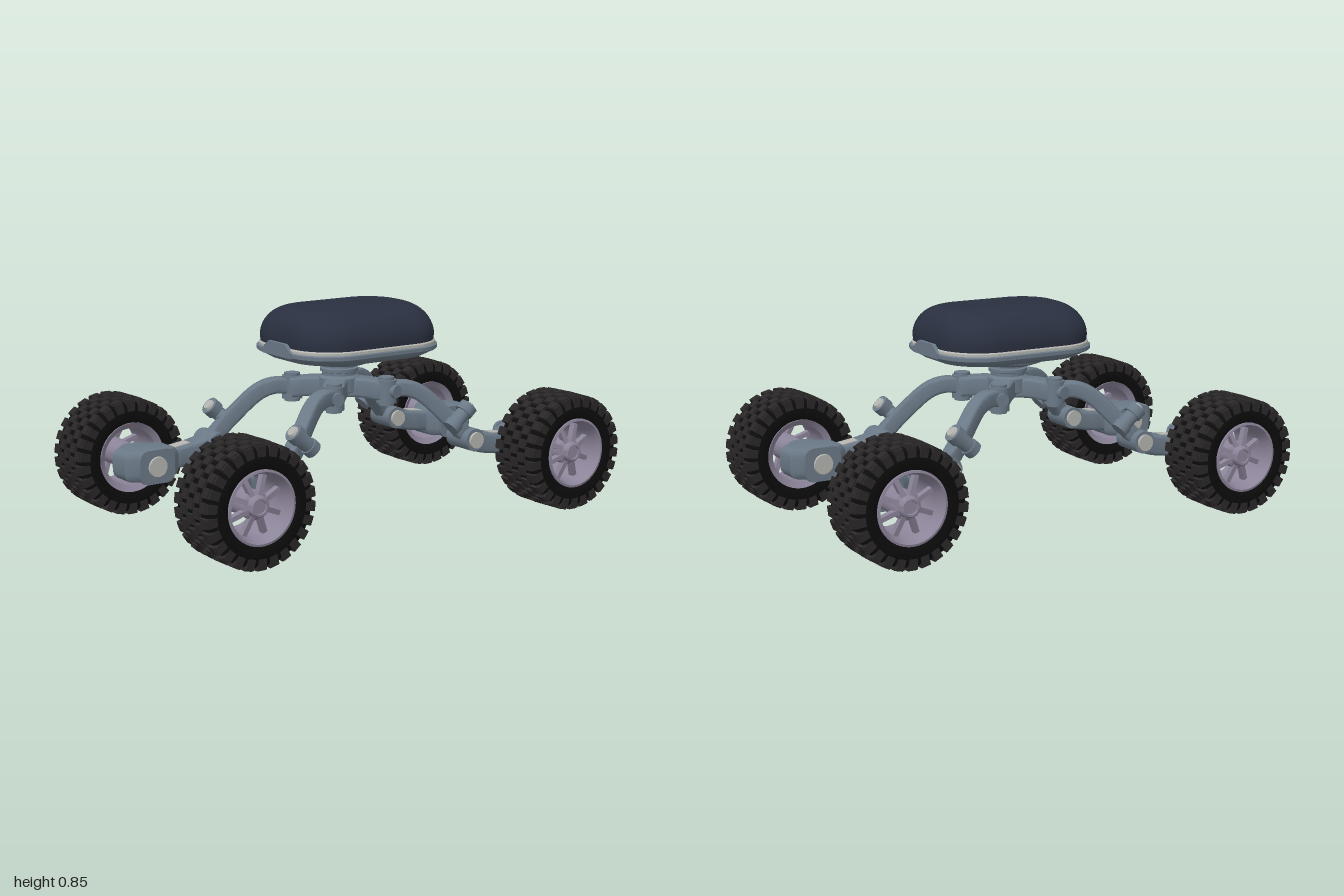
import * as THREE from 'three';
import { mergeGeometries, toCreasedNormals } from 'three/addons/utils/BufferGeometryUtils.js';

const mat = (color) => new THREE.MeshStandardMaterial({ color });
const slate = mat(0x6b7987), navy = mat(0x2a3040), rubber = mat(0x0c0c0d);
const tread = mat(0x2a2728), alloy = mat(0x8c8499), pale = mat(0xb4b5b0);
const V = (x, y, z) => new THREE.Vector3(x, y, z);

function add(parent, name, geometry, material, x = 0, y = 0, z = 0) {
  const mesh = new THREE.Mesh(geometry, material);
  mesh.name = name;
  mesh.position.set(x, y, z);
  parent.add(mesh);
  return mesh;
}

// Cylinder between two points
function rod(parent, name, a, b, r1, r2, material, sides = 24) {
  const mesh = add(parent, name, new THREE.CylinderGeometry(r2, r1, a.distanceTo(b), sides), material);
  mesh.position.copy(a).lerp(b, 0.5);
  mesh.quaternion.setFromUnitVectors(V(0, 1, 0), b.clone().sub(a).normalize());
  return mesh;
}

// Rounded-rectangle outline, counter-clockwise
function outline(w, h, r, n) {
  const pts = [];
  for (let c = 0; c < 4; c++) {
    const sx = c === 0 || c === 3 ? 1 : -1, sy = c < 2 ? 1 : -1;
    for (let i = 0; i <= n; i++) {
      const a = (c + i / n) * Math.PI / 2;
      pts.push([sx * (w - r) + r * Math.cos(a), sy * (h - r) + r * Math.sin(a)]);
    }
  }
  return pts;
}

// Skin over rounded-rectangle sections { c: centre, t: direction, w, h, r }
function loft(sections, up, n = 4, crease = 0.6) {
  const pos = [], idx = [], m = 4 * (n + 1), last = sections.length - 1;
  for (const { c, t, w, h, r } of sections) {
    const u = t.clone().cross(up).normalize(), v = t.clone().cross(u);
    for (const [p, q] of outline(w, h, r, n)) {
      pos.push(...c.clone().addScaledVector(u, p).addScaledVector(v, q).toArray());
    }
  }
  for (let i = 0; i < last; i++) {
    for (let j = 0; j < m; j++) {
      const k = (j + 1) % m, a = i * m + j, b = i * m + k;
      idx.push(a, b, a + m, b, b + m, a + m);
    }
  }
  for (let j = 1; j < m - 1; j++) {
    idx.push(0, j + 1, j, last * m, last * m + j, last * m + j + 1);
  }
  const g = new THREE.BufferGeometry();
  g.setAttribute('position', new THREE.Float32BufferAttribute(pos, 3));
  g.setIndex(idx);
  return toCreasedNormals(g, crease);
}

// Bar swept along a smooth curve
function beam(points, w, h, r, steps = 14) {
  const curve = new THREE.CatmullRomCurve3(points, false, 'centripetal');
  const sections = [];
  for (let i = 0; i <= steps; i++) {
    sections.push({ c: curve.getPointAt(i / steps), t: curve.getTangentAt(i / steps), w, h, r });
  }
  return loft(sections, V(0, 1, 0), 3);
}

// Lathe turned so its axis runs along z; profile given as [radius, z]
function turned(profile, sides = 48) {
  const g = new THREE.LatheGeometry(profile.map(([r, z]) => new THREE.Vector2(r, z)), sides);
  return toCreasedNormals(g.rotateX(Math.PI / 2), 0.6);
}

function createWheel() {
  const wheel = new THREE.Group();
  wheel.name = 'wheel';
  add(wheel, 'tyre', turned([[0.135, -0.105], [0.15, -0.116], [0.18, -0.119], [0.21, -0.113], [0.225, -0.1],
    [0.228, 0], [0.225, 0.1], [0.21, 0.113], [0.18, 0.119], [0.15, 0.116], [0.135, 0.105], [0.135, -0.105]]), rubber);

  // Staggered tread blocks with shoulder lugs
  const blocks = [], count = 26;
  const block = (w, h, d, r, z, angle) => {
    blocks.push(new THREE.BoxGeometry(w, h, d).translate(0, r, z).rotateZ(angle));
  };
  for (let i = 0; i < count; i++) {
    for (let row = -2; row <= 2; row++) {
      const angle = (i + (row % 2 ? 0.5 : 0)) / count * Math.PI * 2;
      block(0.037, 0.02, 0.038, 0.229 - Math.abs(row) * 0.001, row * 0.044, angle);
      if (Math.abs(row) === 2) block(0.034, 0.042, 0.02, 0.211, row * 0.0535, angle);
    }
  }
  add(wheel, 'treadBlocks', mergeGeometries(blocks), tread);

  // Open rim with dished spokes and hub
  add(wheel, 'rim', turned([[0.118, -0.1], [0.143, -0.117], [0.143, -0.1], [0.135, -0.09], [0.135, 0.09],
    [0.143, 0.1], [0.143, 0.119], [0.134, 0.121], [0.124, 0.1], [0.118, 0.06], [0.118, -0.1]]), alloy);
  const spokes = [];
  for (let i = 0; i < 8; i++) {
    const g = new THREE.BoxGeometry(0.019, 0.1, 0.026).rotateX(-0.2).translate(0, 0.075, 0.06);
    spokes.push(g.rotateZ((i + 0.5) * Math.PI / 4));
  }
  add(wheel, 'spokes', mergeGeometries(spokes), alloy);
  add(wheel, 'hub', turned([[0, -0.1], [0.05, -0.1], [0.055, 0.03], [0.055, 0.07], [0.042, 0.078],
    [0.04, 0.1], [0.034, 0.106], [0.026, 0.106], [0.024, 0.1], [0, 0.1]], 32), alloy);
  return wheel;
}

function createLeg() {
  const leg = new THREE.Group();
  leg.name = 'leg';
  // Hip: bracket arm, upright swivel and pivot pin
  add(leg, 'hipBracket', beam([V(0.02, 0.51, 0.02), V(0.075, 0.51, 0.08), V(0.13, 0.5, 0.14)], 0.045, 0.04, 0.012, 6), slate);
  rod(leg, 'hipSwivel', V(0.13, 0.45, 0.15), V(0.13, 0.545, 0.15), 0.042, 0.042, slate);
  rod(leg, 'hipCap', V(0.13, 0.44, 0.15), V(0.13, 0.557, 0.15), 0.032, 0.032, slate);
  rod(leg, 'hipPin', V(0.135, 0.5, 0.15), V(0.145, 0.5, 0.205), 0.028, 0.026, slate);

  // Bent upper arm
  const path = [V(0.13, 0.5, 0.15), V(0.2, 0.507, 0.175), V(0.26, 0.485, 0.2), V(0.36, 0.385, 0.25), V(0.41, 0.33, 0.27), V(0.45, 0.285, 0.275)];
  add(leg, 'upperArm', beam(path, 0.031, 0.033, 0.012, 20), slate);
  const inset = add(leg, 'upperArmInset', new THREE.BoxGeometry(0.06, 0.006, 0.026), pale, 0.3, 0.475, 0.22);
  inset.quaternion.setFromUnitVectors(V(1, 0, 0), V(0.1, -0.1, 0.05).normalize());

  // Angled damper canister beside the arm
  const low = V(0.34, 0.345, 0.31), high = V(0.43, 0.425, 0.31);
  const at = (f) => low.clone().lerp(high, f);
  rod(leg, 'damper', low, high, 0.03, 0.03, slate);
  rod(leg, 'damperFoot', at(-0.02), at(0.25), 0.036, 0.036, slate);
  rod(leg, 'damperHead', at(0.7), at(1.02), 0.038, 0.038, slate);
  rod(leg, 'damperCap', at(1), at(1.1), 0.026, 0.02, pale);
  rod(leg, 'damperMount', V(0.385, 0.37, 0.25), V(0.385, 0.385, 0.31), 0.028, 0.028, slate);

  // Elbow
  rod(leg, 'elbow', V(0.45, 0.285, 0.2), V(0.45, 0.285, 0.335), 0.047, 0.047, slate);
  for (const [a, b] of [[0.188, 0.2], [0.335, 0.347]]) {
    rod(leg, 'elbowCap', V(0.45, 0.285, a), V(0.45, 0.285, b), 0.034, 0.034, pale);
  }

  // Forearm leading into the motor housing
  add(leg, 'forearm', beam([V(0.45, 0.28, 0.275), V(0.52, 0.26, 0.275), V(0.66, 0.24, 0.275)], 0.05, 0.042, 0.014, 8), slate);
  add(leg, 'forearmInset', new THREE.BoxGeometry(0.07, 0.008, 0.05), pale, 0.595, 0.29, 0.275).rotation.z = -0.15;
  const housing = [[0.175, 0.078, 0.069], [0.19, 0.078, 0.069], [0.192, 0.074, 0.062], [0.225, 0.122, 0.062],
    [0.325, 0.122, 0.062], [0.35, 0.075, 0.06], [0.385, 0.07, 0.06]];
  add(leg, 'motorHousing', loft(housing.map(([z, w, h]) => (
    { c: V(0.752, 0.238, z), t: V(0, 0, 1), w, h, r: 0.035 })), V(0, 1, 0), 3), slate);
  rod(leg, 'motorCap', V(0.752, 0.238, 0.168), V(0.752, 0.238, 0.18), 0.04, 0.044, pale);
  rod(leg, 'axle', V(0.76, 0.24, 0.36), V(0.76, 0.24, 0.5), 0.045, 0.04, slate);

  const wheel = createWheel();
  wheel.position.set(0.76, 0.24, 0.486);
  leg.add(wheel);
  return leg;
}

function createBody() {
  const body = new THREE.Group();
  body.name = 'body';
  body.position.set(0.029, 0, 0.016);
  const stack = (rows, crease) => loft(rows.map(([y, w, h, r]) => (
    { c: V(0, y, 0), t: V(0, 1, 0), w, h, r })), V(0, 0, 1), 12, crease);

  // Padded dome: side easing into a flat crown
  const dome = [];
  for (let i = 0; i <= 14; i++) {
    const a = i / 14 * Math.PI / 2, k = 1 - Math.cos(a);
    dome.push([0.725 + 0.125 * Math.sin(a), 0.329 - 0.1 * k, 0.27 - 0.15 * k, 0.18 - 0.07 * k]);
  }
  add(body, 'dome', stack([[0.69, 0.326, 0.267, 0.18], ...dome], 1), navy);

  // Tray with a double lip, tapering underneath
  add(body, 'tray', stack([[0.628, 0.22, 0.14, 0.12], [0.632, 0.25, 0.18, 0.14], [0.643, 0.295, 0.235, 0.17],
    [0.66, 0.322, 0.265, 0.18], [0.668, 0.328, 0.27, 0.18]], 0.6), slate);
  add(body, 'lowerLip', stack([[0.667, 0.336, 0.276, 0.185], [0.672, 0.341, 0.28, 0.185], [0.686, 0.341, 0.28, 0.185],
    [0.69, 0.336, 0.276, 0.185]], 0.6), slate);
  add(body, 'upperLip', stack([[0.688, 0.334, 0.274, 0.185], [0.7, 0.334, 0.274, 0.185], [0.705, 0.328, 0.269, 0.18]], 0.6), pale);

  // Side latch plates
  const plate = new THREE.Shape([[-0.1, 0.668], [0.1, 0.668], [0.1, 0.69], [0.058, 0.722], [-0.058, 0.722], [-0.1, 0.69]]
    .map(([x, y]) => new THREE.Vector2(x, y)));
  for (const side of [1, -1]) {
    const g = new THREE.ExtrudeGeometry(plate, { depth: 0.024, bevelEnabled: false }).translate(0, 0, 0.32);
    add(body, 'latchPlate', g.rotateY(side * Math.PI / 2), slate);
  }
  return body;
}

export function createModel() {
  const model = new THREE.Group();
  model.name = 'fourWheeledRover';
  model.add(createBody());

  // Turntable and central hub
  const profile = [[0, 0.47], [0.05, 0.47], [0.06, 0.485], [0.085, 0.495], [0.085, 0.55], [0.07, 0.56], [0.07, 0.572],
    [0.078, 0.575], [0.078, 0.588], [0.066, 0.592], [0.066, 0.6], [0.11, 0.607], [0.152, 0.622], [0.156, 0.635], [0, 0.635]];
  const hub = new THREE.LatheGeometry(profile.map(([r, y]) => new THREE.Vector2(r, y)), 40);
  add(model, 'centralHub', toCreasedNormals(hub, 0.5), slate);

  for (const sx of [1, -1]) {
    for (const sz of [1, -1]) {
      const leg = createLeg();
      leg.name = (sz > 0 ? 'front' : 'rear') + (sx > 0 ? 'Left' : 'Right') + 'Leg';
      leg.scale.set(sx, 1, sz);
      model.add(leg);
    }
  }
  return model;
}
